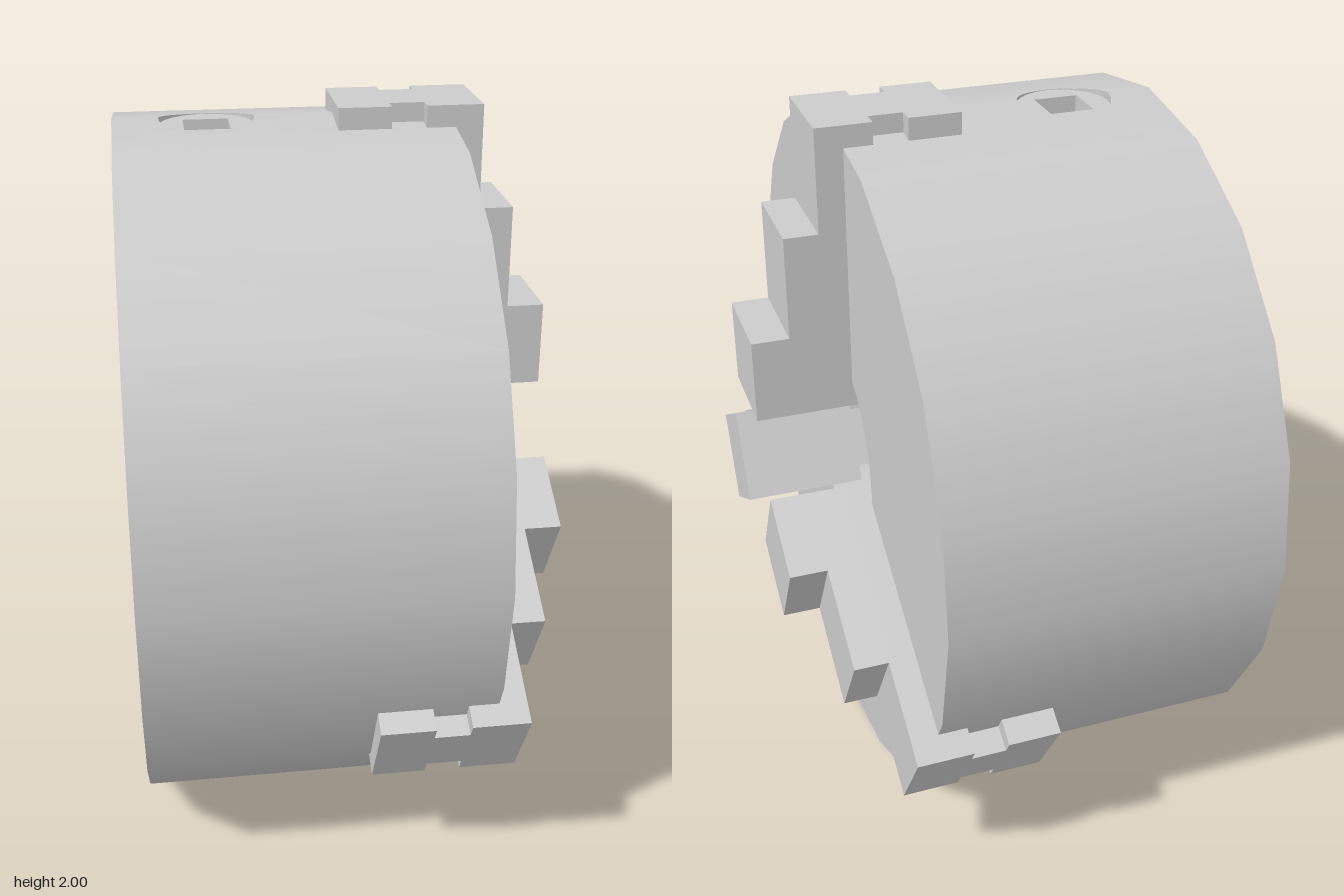
import * as THREE from 'three';

const SIDES = 20, R = 0.98, BORE = 0.31, AXIS_Y = 0.98;
const X0 = -0.6, X1 = 0.32;
const STEP = (Math.PI * 2) / SIDES;

// Key socket on the top ridge
const KEY_X = -0.345, KEY_R = 0.13, KEY_FLOOR = 1.938 - AXIS_Y, KEY_SQ = 0.125, KEY_DEPTH = 0.13;

const grey = new THREE.MeshStandardMaterial({ color: 0xcccccc });
const inside = new THREE.MeshStandardMaterial({ color: 0xcccccc, side: THREE.BackSide });

function add(parent, name, geometry, material = grey) {
  const mesh = new THREE.Mesh(geometry, material);
  mesh.name = name;
  parent.add(mesh);
  return mesh;
}

// Height above the axis of the two facets beside the top ridge
const ridgeHeight = (z) => R - Math.abs(z) * Math.tan(STEP / 2);

// One top facet with half of the round socket cut out
function topFacet(s) {
  const w = s * R * Math.sin(STEP);
  const shape = new THREE.Shape();
  shape.moveTo(X0, 0);
  shape.lineTo(KEY_X - KEY_R, 0);
  shape.absarc(KEY_X, 0, KEY_R, Math.PI, 0, s > 0);
  shape.lineTo(X1, 0);
  shape.lineTo(X1, w);
  shape.lineTo(X0, w);
  shape.closePath();
  const g = new THREE.ShapeGeometry(shape, 12).rotateX(-Math.PI / 2);
  const p = g.attributes.position, n = g.attributes.normal;
  for (let i = 0; i < p.count; i++) {
    const z = p.getZ(i), y = ridgeHeight(z), len = Math.hypot(y, z);
    p.setY(i, y);
    n.setXYZ(i, 0, y / len, z / len);
  }
  return g;
}

function createBody() {
  const body = new THREE.Group();
  body.name = 'body';
  const length = X1 - X0, mid = (X0 + X1) / 2;

  // Outer wall, leaving the two top facets open for the socket
  add(body, 'outerWall', new THREE.CylinderGeometry(R, R, length, SIDES - 2, 1, true,
    Math.PI * 1.5 + STEP, Math.PI * 2 - 2 * STEP).rotateZ(-Math.PI / 2).translate(mid, 0, 0));
  for (const s of [-1, 1]) add(body, 'topFacet', topFacet(s));

  // Through bore and the two ring faces
  add(body, 'bore', new THREE.CylinderGeometry(BORE, BORE, length, SIDES, 1, true)
    .rotateZ(-Math.PI / 2).translate(mid, 0, 0), inside);
  add(body, 'jawFace', new THREE.RingGeometry(BORE, R, SIDES).rotateY(Math.PI / 2).translate(X1, 0, 0));
  add(body, 'backFace', new THREE.RingGeometry(BORE, R, SIDES).rotateY(-Math.PI / 2).translate(X0, 0, 0));

  // Round recess wall, following the ridge at its rim
  const wall = new THREE.CylinderGeometry(KEY_R, KEY_R, 1, 24, 1, true);
  const p = wall.attributes.position;
  for (let i = 0; i < p.count; i++) p.setY(i, p.getY(i) > 0 ? ridgeHeight(p.getZ(i)) : KEY_FLOOR);
  add(body, 'socketRim', wall.translate(KEY_X, 0, 0), inside);

  // Flat recess floor with the square key hole
  const disc = new THREE.Shape().absarc(0, 0, KEY_R, 0, Math.PI * 2);
  const h = KEY_SQ / 2;
  disc.holes.push(new THREE.Path([[-h, -h], [-h, h], [h, h], [h, -h]].map(([x, y]) => new THREE.Vector2(x, y))));
  add(body, 'socketFloor', new THREE.ShapeGeometry(disc, 24)
    .rotateX(-Math.PI / 2).translate(KEY_X, KEY_FLOOR, 0));
  add(body, 'keyHole', new THREE.BoxGeometry(KEY_SQ, KEY_DEPTH, KEY_SQ)
    .translate(KEY_X, KEY_FLOOR - KEY_DEPTH / 2, 0), inside);
  return body;
}

const polygon = (pts) => new THREE.Shape(pts.map(([x, y]) => new THREE.Vector2(x, y)));

// A jaw pointing up from the axis: grooved base plus a stepped front
function createJaw() {
  const jaw = new THREE.Group();
  jaw.name = 'jaw';
  const inner = 0.205, outer = 1.025, w = 0.133, neck = 0.087;
  const half = [[0, w], [0.145, w], [0.145, neck], [0.24, neck], [0.24, w], [0.395, w]];
  const section = [...half, ...half.map(([x, z]) => [x, -z]).reverse()];
  add(jaw, 'jawBase', new THREE.ExtrudeGeometry(polygon(section), { depth: outer - inner, bevelEnabled: false })
    .rotateX(-Math.PI / 2).translate(0, inner, 0));

  const steps = [[0.395, inner], [0.595, inner], [0.595, 0.445], [0.49, 0.445], [0.49, 0.737], [0.395, 0.737]];
  add(jaw, 'jawSteps', new THREE.ExtrudeGeometry(polygon(steps), { depth: 2 * w, bevelEnabled: false })
    .translate(0, 0, -w));
  return jaw;
}

export function createModel() {
  const model = new THREE.Group();
  model.name = 'threeJawChuck';

  const body = createBody();
  body.position.y = AXIS_Y;
  model.add(body);

  // Three jaws evenly spaced around the axis
  const jaws = new THREE.Group();
  jaws.name = 'jaws';
  jaws.position.set(0, 0.974, -0.005);
  for (let i = 0; i < 3; i++) {
    const jaw = createJaw();
    jaw.rotation.x = (i * Math.PI * 2) / 3;
    jaws.add(jaw);
  }
  model.add(jaws);
  return model;
}
